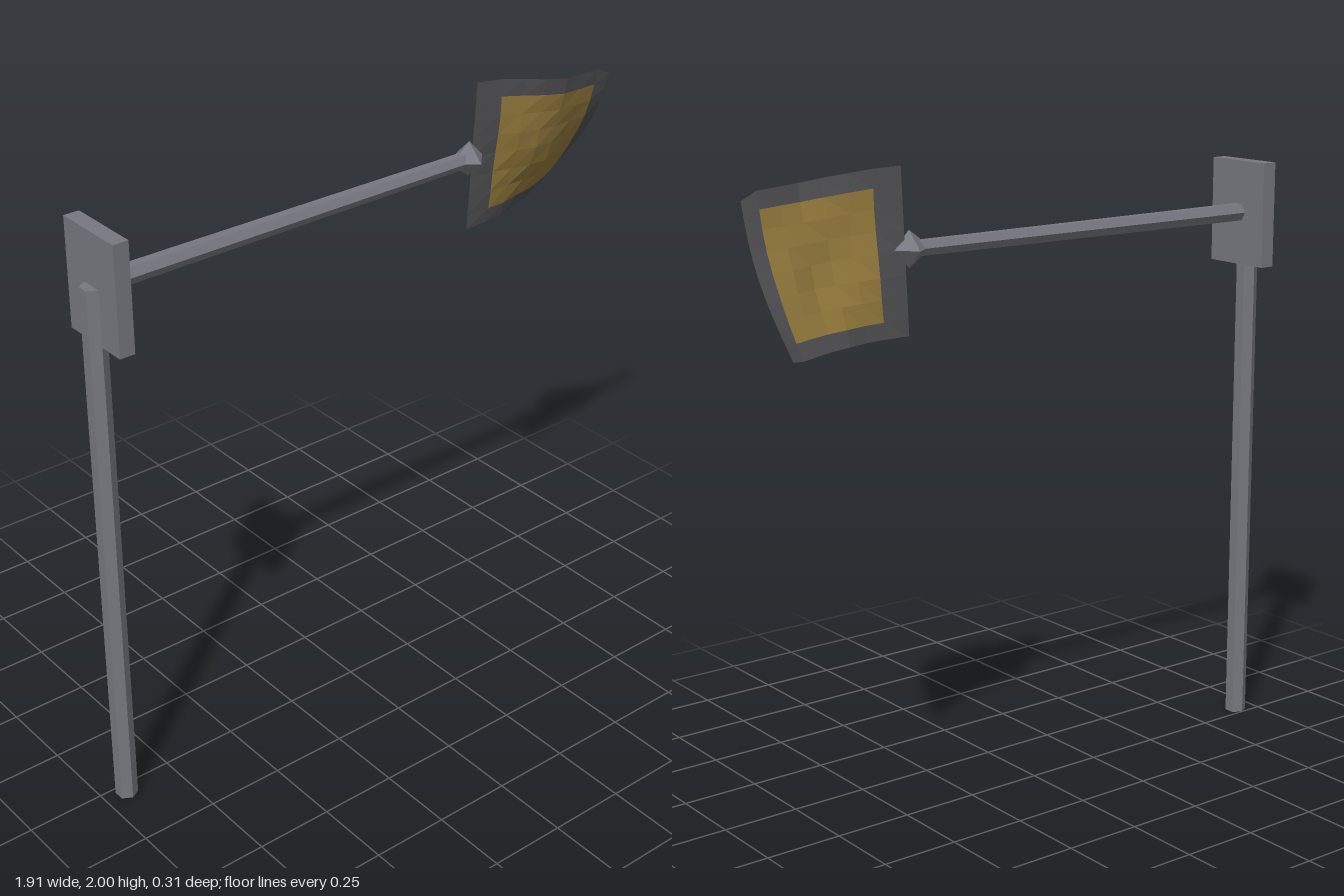
import * as THREE from 'three';

const mat = (color, side = THREE.FrontSide) =>
  new THREE.MeshStandardMaterial({ color, flatShading: true, side });

// Piecewise-linear lookup through [position, value] points
function lookup(points, x) {
  for (let i = 1; i < points.length; i++) {
    const [a, va] = points[i - 1], [b, vb] = points[i];
    if (x <= b) return va + (vb - va) * (x - a) / (b - a);
  }
  return points[points.length - 1][1];
}

// Edge curves of the twisted cloth, as functions of x
const topY = [[0.46, 2], [0.55, 1.995], [0.65, 1.98], [0.75, 1.965], [0.9, 1.955], [0.95, 1.93]];
const bottomY = [[0.46, 1.505], [0.9, 1.505], [0.95, 1.515]];
const topZ = [[0.46, 0.035], [0.57, 0.06], [0.65, 0.09], [0.73, 0.12], [0.8, 0.11], [0.95, 0.1]];
const bottomZ = [[0.46, 0.005], [0.6, 0], [0.65, -0.02], [0.73, -0.04], [0.8, -0.07], [0.9, -0.12], [0.95, -0.155]];

const columns = [0.46, 0.545, 0.616, 0.687, 0.758, 0.829, 0.9, 0.954];
const rows = [0, 0.1, 0.23, 0.36, 0.5, 0.63, 0.76, 0.885, 1];

function clothPoint(x, t) {
  const u = (x - 0.46) / 0.49;
  const y = THREE.MathUtils.lerp(lookup(bottomY, x), lookup(topY, x), t);
  const bend = 0.045 * u * Math.sin(Math.PI * t);
  const ripple = 0.008 * Math.sin(9 * u + 8 * t) * Math.sin(Math.PI * t) * Math.sin(Math.PI * u);
  return [x, y, THREE.MathUtils.lerp(lookup(bottomZ, x), lookup(topZ, x), t) + bend + ripple];
}

// Cloth cells: the outer ring is the border, the rest the centre panel
function clothGeometry(wantBorder) {
  const pos = [];
  const nc = columns.length - 1, nr = rows.length - 1;
  for (let i = 0; i < nc; i++) {
    for (let j = 0; j < nr; j++) {
      const border = i === 0 || j === 0 || i === nc - 1 || j === nr - 1;
      if (border !== wantBorder) continue;
      const a = clothPoint(columns[i], rows[j]), b = clothPoint(columns[i + 1], rows[j]);
      const c = clothPoint(columns[i + 1], rows[j + 1]), d = clothPoint(columns[i], rows[j + 1]);
      pos.push(...a, ...b, ...c, ...a, ...c, ...d);
    }
  }
  const g = new THREE.BufferGeometry();
  g.setAttribute('position', new THREE.Float32BufferAttribute(pos, 3));
  g.computeVertexNormals();
  return g;
}

export function createModel() {
  const model = new THREE.Group();
  model.name = 'flagOnBracket';
  const steel = mat(0x777880);
  const add = (name, geometry, material, x = 0, y = 0, z = 0) => {
    const mesh = new THREE.Mesh(geometry, material);
    mesh.name = name;
    mesh.position.set(x, y, z);
    model.add(mesh);
    return mesh;
  };

  // Hexagonal upright and its mounting plate
  add('post', new THREE.CylinderGeometry(0.035, 0.035, 1.76, 6), steel, -0.925, 0.88, 0.035);
  add('mountingPlate', new THREE.BoxGeometry(0.05, 0.34, 0.24), steel, -0.9, 1.755, 0.035);

  // Horizontal arm, slightly slimmer toward the tip
  const arm = add('arm', new THREE.CylinderGeometry(0.026, 0.031, 1.31, 6), steel, -0.225, 1.757, 0.03);
  arm.rotation.z = -Math.PI / 2;

  // Four-sided pointed finial
  const profile = [[0, -0.045], [0.025, -0.042], [0.057, 0], [0, 0.055]].map(p => new THREE.Vector2(...p));
  const finial = add('finial', new THREE.LatheGeometry(profile, 4), steel, 0.44, 1.757, 0.028);
  finial.rotation.z = -Math.PI / 2;

  // Twisted cloth, visible from both sides
  add('flagBorder', clothGeometry(true), mat(0x505053, THREE.DoubleSide));
  add('flagPanel', clothGeometry(false), mat(0x947a3c, THREE.DoubleSide));
  return model;
}
